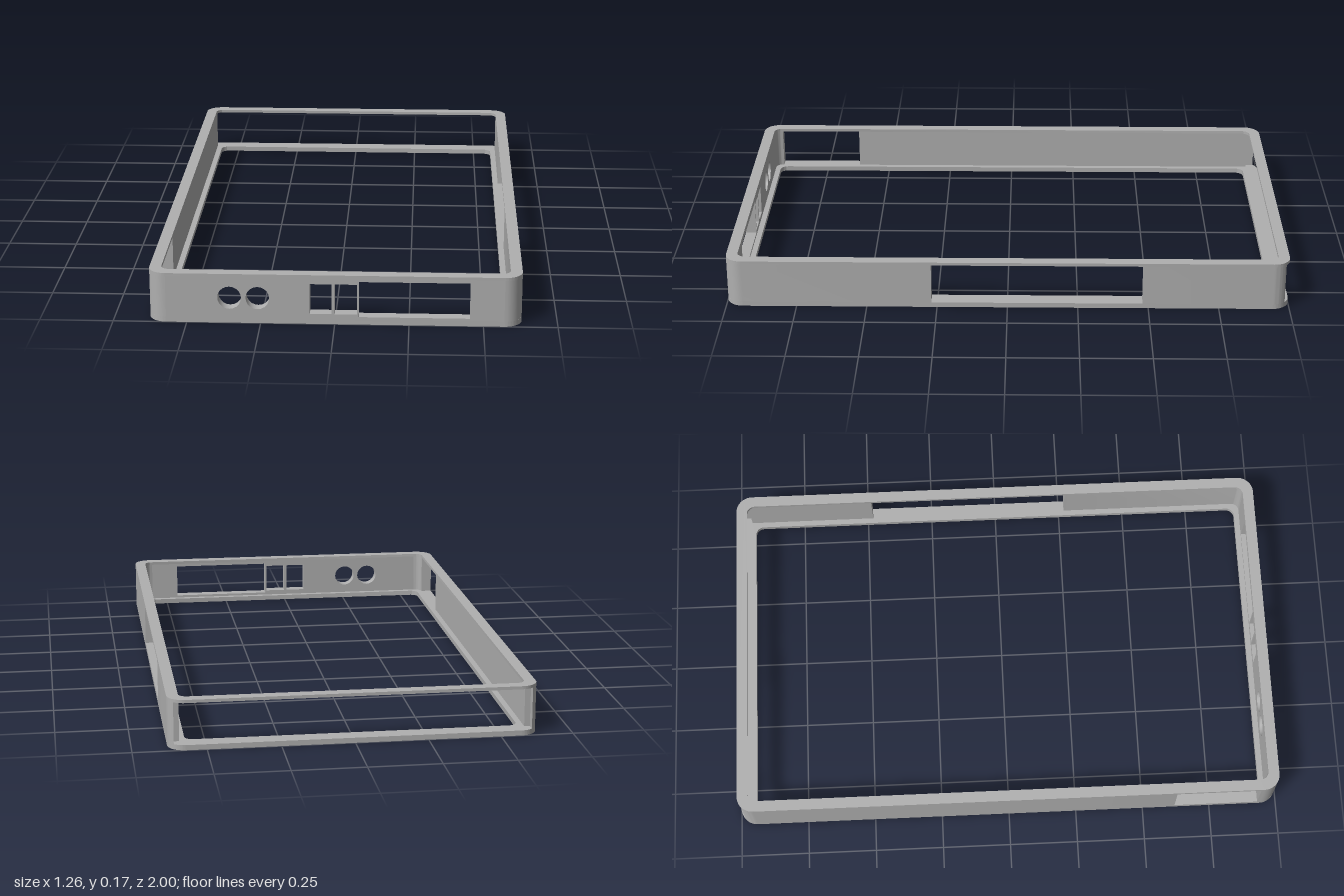
import * as THREE from 'three';
import { toCreasedNormals } from 'three/addons/utils/BufferGeometryUtils.js';

const W = 0.63, D = 1, H = 0.175, R = 0.06;   // outer half width, half depth, height, corner radius
const LOW = 0.018, HIGH = 0.164;              // bottom and top of the side openings
const INX = 0.59, INZ = 0.96;                 // inner faces of the walls

const grey = new THREE.MeshStandardMaterial({ color: 0xb0b0b0 });
grey.name = 'grey plastic';

function roundedRect(Type, w, d, r) {
  const s = new Type();
  s.absarc(w - r, d - r, r, 0, Math.PI / 2);
  s.absarc(-w + r, d - r, r, Math.PI / 2, Math.PI);
  s.absarc(-w + r, -d + r, r, Math.PI, Math.PI * 1.5);
  s.absarc(w - r, -d + r, r, Math.PI * 1.5, Math.PI * 2);
  s.closePath();
  return s;
}

function extrude(shape, depth) {
  return new THREE.ExtrudeGeometry(shape, { depth, bevelEnabled: false, curveSegments: 10 });
}

// Plan outline (x, -z) raised from y0 to y1
function raise(name, shape, y0, y1) {
  const geo = extrude(shape, y1 - y0).rotateX(-Math.PI / 2).translate(0, y0, 0);
  const mesh = new THREE.Mesh(toCreasedNormals(geo, 0.5), grey);
  mesh.name = name;
  return mesh;
}

function ring(name, inX, inZ, inR, y0, y1) {
  const s = roundedRect(THREE.Shape, W, D, R);
  s.holes.push(roundedRect(THREE.Path, inX, inZ, inR));
  return raise(name, s, y0, y1);
}

// Points of an arc in the x-z plane
function arc(cx, cz, r, a0, a1, n = 10) {
  return Array.from({ length: n + 1 }, (_, i) => {
    const a = a0 + (a1 - a0) * i / n;
    return [cx + r * Math.cos(a), cz + r * Math.sin(a)];
  });
}

// Wall piece from x-z points, mirrored by side (+1 left, -1 right)
function wall(name, side, points) {
  const s = new THREE.Shape(points.map(([x, z]) => new THREE.Vector2(side * x, -z)));
  return raise(name, s, LOW, HIGH);
}

function rectHole(x0, x1, y0, y1) {
  return new THREE.Path([[x0, y0], [x0, y1], [x1, y1], [x1, y0]].map(p => new THREE.Vector2(...p)));
}

export function createModel() {
  const model = new THREE.Group();
  model.name = 'openFrame';

  // Bottom ring with its inner ledge, and the thin top rim
  model.add(ring('bottomLedge', 0.57, 0.94, 0.03, 0, LOW));
  model.add(ring('topRim', INX, INZ, 0.03, HIGH, H));

  // Front panel with two round and three rectangular ports
  const front = new THREE.Shape([[-0.57, LOW], [0.57, LOW], [0.57, HIGH], [-0.57, HIGH]]
    .map(p => new THREE.Vector2(...p)));
  for (const x of [-0.355, -0.26]) {
    const hole = new THREE.Path();
    hole.absarc(x, 0.09, 0.04, 0, Math.PI * 2, true);
    front.holes.push(hole);
  }
  front.holes.push(rectHole(-0.084, -0.01, 0.036, 0.143));
  front.holes.push(rectHole(0, 0.075, 0.036, 0.143));
  front.holes.push(rectHole(0.081, 0.455, 0.027, 0.153));
  const panelGeo = extrude(front, D - INZ).translate(0, 0, INZ);
  const panel = new THREE.Mesh(toCreasedNormals(panelGeo, 0.6), grey);
  panel.name = 'frontPanel';
  model.add(panel);

  // Side walls: a front corner piece and a back piece, with an opening between
  const cutX = 0.61;
  const cutAngle = Math.acos((cutX - (W - R)) / R);
  const sides = [['left', 1, 0.27, -0.48], ['right', -1, 0.93, 0.62]];
  for (const [name, side, openFront, openBack] of sides) {
    model.add(wall(name + 'FrontCorner', side, [
      [W, openFront],
      ...arc(W - R, D - R, R, 0, Math.PI / 2),
      ...arc(0.56, 0.93, 0.03, Math.PI / 2, 0),
      ...(openFront < 0.93 ? [[INX, openFront]] : []),
    ]));
    model.add(wall(name + 'BackWall', side, [
      [W, openBack],
      ...arc(W - R, -D + R, R, 0, -cutAngle),
      [cutX, -0.955], [INX, -0.955], [INX, openBack],
    ]));
  }
  return model;
}
